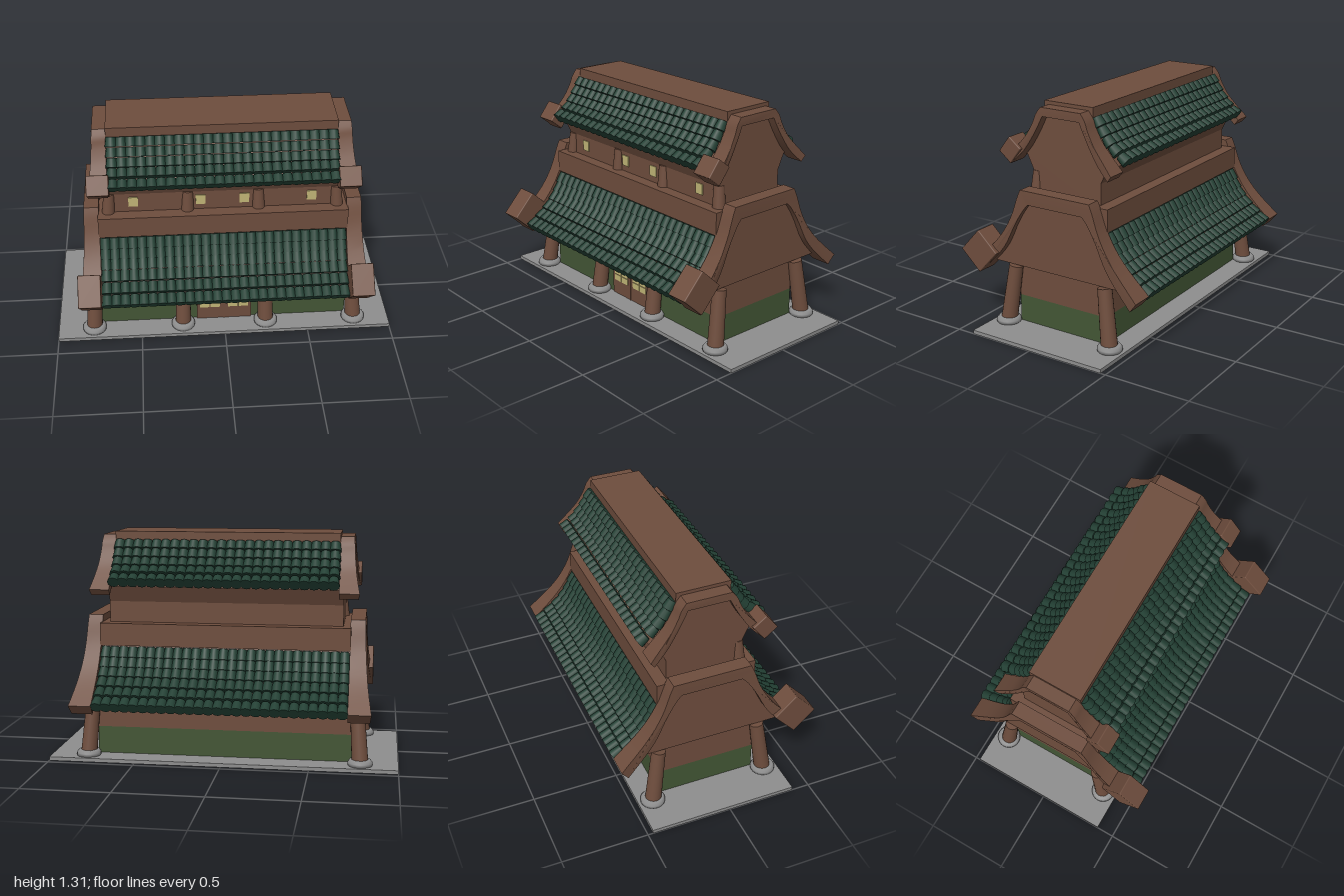
import * as THREE from 'three';
import { mergeGeometries, toCreasedNormals } from 'three/addons/utils/BufferGeometryUtils.js';
import { RoundedBoxGeometry } from 'three/addons/geometries/RoundedBoxGeometry.js';

const mat = (name, color) => {
  const m = new THREE.MeshStandardMaterial({ color });
  m.name = name;
  return m;
};

export function createModel() {
  const wood = mat('brown wood', 0x6e4d3d);
  const tileGreen = mat('green tile', 0x234034);
  const wallGreen = mat('green wall', 0x435635);
  const stone = mat('grey stone', 0x8e8e8e);
  const glow = mat('yellow window', 0xc0b476);

  const model = new THREE.Group();
  const house = new THREE.Group();
  house.name = 'house';
  house.position.z = -0.0375;
  model.add(house);

  const add = (name, geo, material) => {
    const m = new THREE.Mesh(geo, material);
    m.name = name;
    house.add(m);
    return m;
  };
  // Box given by its width, bottom and top y, depth, centre x and z
  const box = (name, material, w, y0, y1, d, x = 0, z = 0) =>
    add(name, new THREE.BoxGeometry(w, y1 - y0, d), material).position.set(x, (y0 + y1) / 2, z);

  // Round post between two points
  const post = (name, a, b, r0, r1) => {
    const from = new THREE.Vector3(...a), to = new THREE.Vector3(...b);
    const dir = to.clone().sub(from);
    const m = add(name, new THREE.CylinderGeometry(r1, r0, dir.length(), 20), wood);
    m.position.copy(from).add(to).multiplyScalar(0.5);
    m.quaternion.setFromUnitVectors(new THREE.Vector3(0, 1, 0), dir.normalize());
  };

  // Half profile of [distance from middle, y], mirrored and extruded along x;
  // the outer face can flare away towards the eaves
  const prism = (half, x0, x1, flare = 0) => {
    const ring = [...half, ...half.map(([d, y]) => [-d, y]).reverse()];
    const shape = new THREE.Shape(ring.map(p => new THREE.Vector2(...p)));
    const geo = new THREE.ExtrudeGeometry(shape, { depth: x1 - x0, bevelEnabled: false });
    geo.rotateY(Math.PI / 2).translate(x0, 0, 0);
    const p = geo.attributes.position;
    const reach = Math.max(...half.map(h => h[0]));
    for (let i = 0; i < p.count; i++) {
      if (p.getX(i) > (x0 + x1) / 2) p.setX(i, p.getX(i) + flare * (Math.abs(p.getZ(i)) / reach) ** 2);
    }
    return toCreasedNormals(geo, 0.36);
  };
  const smooth = pts => new THREE.SplineCurve(pts.map(p => new THREE.Vector2(...p)))
    .getPoints(14).map(v => [v.x, v.y]);

  // Curved gable boards with a heavy block on each front end
  const gableBoards = (name, outer, inner, x0, x1, flare, block) => {
    for (const s of [1, -1]) {
      const geo = prism([...smooth(outer), ...smooth(inner)], x0, x1, flare);
      if (s < 0) geo.rotateY(Math.PI);
      add(name + 'GableBoard', geo, wood);
      const end = add(name + 'EaveBlock', new RoundedBoxGeometry(block.w, block.h, block.l, 2, 0.006), wood);
      end.position.set(s * block.x, block.y, block.z);
      end.rotation.x = block.a;
    }
  };

  // Rows of overlapping barrel tiles down both slopes, wider at the lower end
  const tiles = (name, rows, count, halfWidth, length) => {
    const parts = [];
    const step = (2 * halfWidth) / count;
    for (const s of [1, -1]) {
      rows.forEach(([d, y], i) => {
        const a = rows[Math.max(i - 1, 0)], b = rows[Math.min(i + 1, rows.length - 1)];
        const angle = Math.atan2(-s * (b[0] - a[0]), a[1] - b[1]);
        for (let c = 0; c < count; c++) {
          const g = new THREE.CylinderGeometry(step * 0.5, step * 0.64, length, 12);
          g.rotateX(angle).translate(-halfWidth + (c + 0.5) * step, y, s * d);
          parts.push(g);
        }
      });
    }
    add(name, mergeGeometries(parts), tileGreen);
  };

  // Ground slab and lower storey
  box('groundSlab', stone, 2, 0, 0.022, 0.865);
  box('lowerWallBase', wallGreen, 1.48, 0.022, 0.18, 0.586);
  box('lowerWall', wood, 1.48, 0.18, 0.38, 0.586);

  // Leaning columns on round stone feet: four in front, two behind
  for (const [x, s] of [[-0.785, 1], [-0.25, 1], [0.25, 1], [0.785, 1], [-0.785, -1], [0.785, -1]]) {
    post('lowerColumn', [x, 0.03, s * 0.345], [x * 0.97, 0.366, s * 0.3], 0.047, 0.04);
    const foot = add('columnFoot', new THREE.LatheGeometry(
      [[0, 0.02], [0.07, 0.02], [0.07, 0.04], [0.058, 0.055], [0, 0.055]].map(p => new THREE.Vector2(...p)), 24), stone);
    foot.position.set(x, 0, s * 0.347);
  }

  // Door with two glazed leaves, and a framed window on each side
  const front = 0.293;
  box('door', wood, 0.33, 0.022, 0.29, 0.012, 0, front + 0.004);
  box('doorSeam', wood, 0.008, 0.022, 0.285, 0.008, 0, front + 0.01);
  for (const s of [1, -1]) {
    for (let c = 0; c < 2; c++) for (let r = 0; r < 4; r++) {
      const y = 0.11 + r * 0.042;
      box('doorPane', glow, 0.058, y, y + 0.037, 0.006, s * (0.054 + c * 0.062), front + 0.011);
    }
    box('lowerWindowFrame', wood, 0.125, 0.165, 0.278, 0.012, s * 0.507, front + 0.004);
    box('lowerWindow', glow, 0.098, 0.172, 0.27, 0.006, s * 0.507, front + 0.011);
  }

  // Lower roof: solid gable core, curved boards and tiles
  const lowOuter = [[0.228, 0.83], [0.25, 0.78], [0.29, 0.67], [0.35, 0.565], [0.43, 0.47], [0.55, 0.357]];
  const lowInner = [[0.508, 0.303], [0.4, 0.41], [0.33, 0.5], [0.27, 0.62], [0.215, 0.71], [0.18, 0.75]];
  add('lowerRoof', prism([[0.425, 0.37], [0.48, 0.378], [0.4, 0.45], [0.32, 0.545], [0.262, 0.65], [0.22, 0.78]], -0.768, 0.768), wood);
  gableBoards('lower', lowOuter, lowInner, 0.715, 0.79, 0.055,
    { x: 0.78, y: 0.431, z: 0.5025, w: 0.13, h: 0.173, l: 0.187, a: 0.82 });
  tiles('lowerRoofTiles',
    [[0.288, 0.618], [0.315, 0.563], [0.35, 0.51], [0.397, 0.458], [0.453, 0.411], [0.515, 0.369]], 27, 0.713, 0.066);
  box('roofBand', wood, 1.44, 0.66, 0.79, 0.585);

  // Upper storey, flaring out below its eaves
  add('upperStorey', prism([[0.222, 0.76], [0.222, 0.91], [0.265, 1.0], [0.3, 1.005], [0.245, 1.055],
    [0.195, 1.115], [0.155, 1.185], [0.125, 1.255]], -0.675, 0.675), wood);
  for (const x of [-0.66, -0.205, 0.205, 0.66]) {
    post('upperColumn', [x, 0.78, 0.217], [x * 0.985, 0.912, 0.208], 0.037, 0.031);
  }
  for (const x of [-0.515, -0.13, 0.122, 0.51]) {
    box('upperWindow', glow, 0.055, 0.826, 0.888, 0.008, x, 0.224);
  }

  // Upper roof and ridge
  const topOuter = [[0.13, 1.29], [0.16, 1.25], [0.18, 1.2], [0.22, 1.13], [0.27, 1.07], [0.345, 0.99]];
  const topInner = [[0.32, 0.957], [0.245, 1.03], [0.19, 1.11], [0.15, 1.18], [0.12, 1.24]];
  gableBoards('upper', topOuter, topInner, 0.65, 0.72, 0.045,
    { x: 0.703, y: 1.035, z: 0.3175, w: 0.125, h: 0.098, l: 0.116, a: 0.9 });
  tiles('upperRoofTiles',
    [[0.174, 1.232], [0.204, 1.182], [0.238, 1.134], [0.278, 1.09], [0.333, 1.05]], 24, 0.648, 0.054);
  box('ridge', wood, 1.3, 1.24, 1.31, 0.315);

  return model;
}
